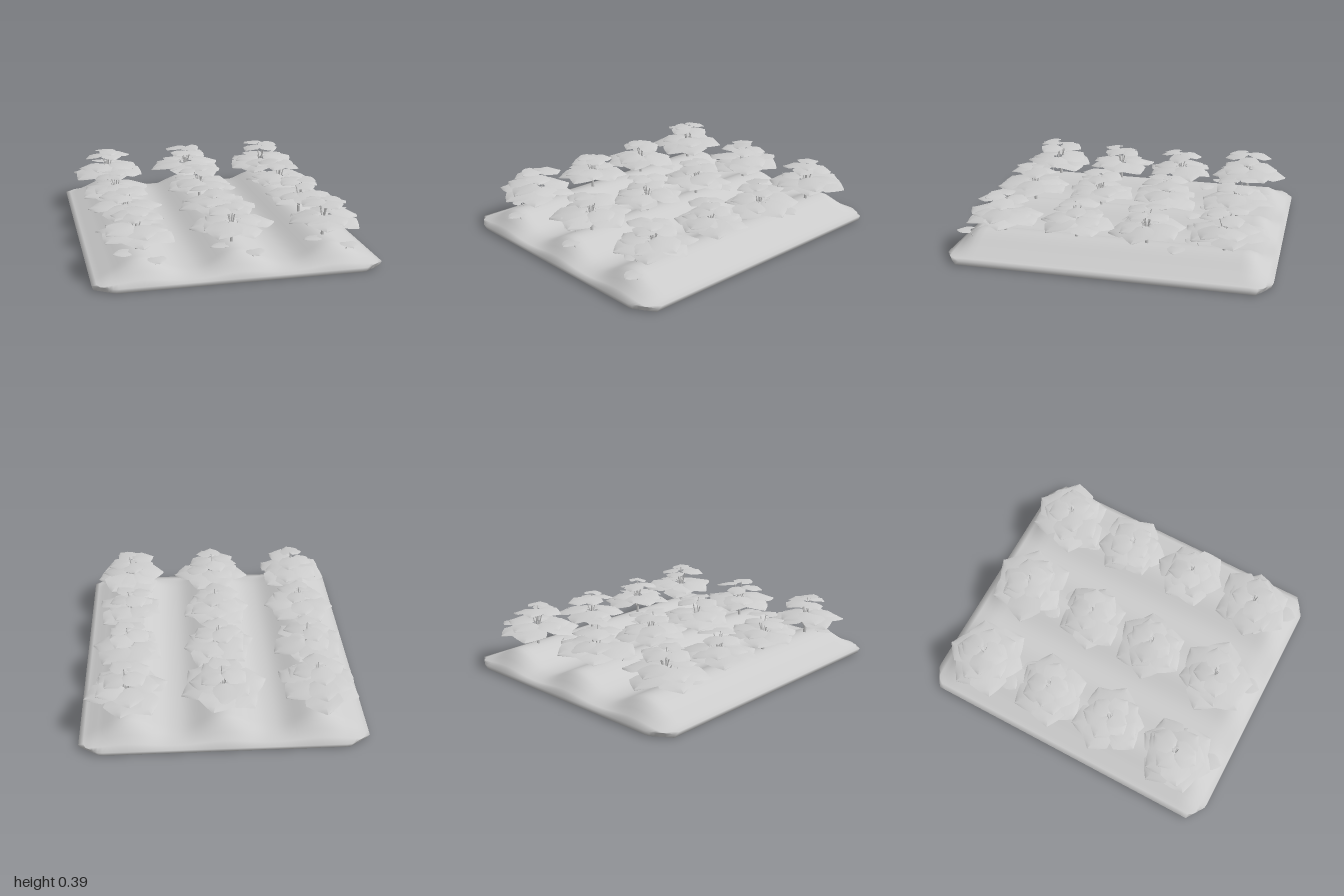
import * as THREE from 'three';
import { mergeVertices } from 'three/addons/utils/BufferGeometryUtils.js';

const grey = new THREE.MeshStandardMaterial({ color: 0xcccccc, side: THREE.DoubleSide });
grey.name = 'pale grey';
const clamp = THREE.MathUtils.clamp;

// Small seeded generator for natural variation
let seed = 7;
const vary = (a, b) => {
  seed = (seed * 16807) % 2147483647;
  return a + (b - a) * (seed / 2147483647);
};

function add(parent, geometry, name) {
  const mesh = new THREE.Mesh(geometry, grey);
  mesh.name = name;
  parent.add(mesh);
  return mesh;
}

// Leaf one unit long along +z, made of rows of [distance, half width]
function leafGeometry(rows, droop, notch) {
  const g = new THREE.PlaneGeometry(2, 1, 4, rows.length - 1);
  const p = g.attributes.position;
  for (let i = 0; i < p.count; i++) {
    const [z, w] = rows[Math.floor(i / 5)];
    const v = p.getX(i);
    const bow = v * v;
    p.setXYZ(i, v * w, -droop * z * z - 0.04 * bow, z - (z < 0.15 ? notch * bow : 0));
  }
  g.computeVertexNormals();
  return g;
}
const broadLeaf = leafGeometry([[0, 0.1], [0.12, 0.38], [0.35, 0.5], [0.6, 0.54], [0.8, 0.31], [1, 0.01]], 0.13, 0.08);
const heartLeaf = leafGeometry([[0.1, 0.3], [0.14, 0.46], [0.35, 0.55], [0.6, 0.46], [0.85, 0.24], [1, 0.02]], 0.06, 0.14);

// Soil height: three long ridges fading out to the rim
function soilHeight(x, z) {
  const wave = (1 + Math.cos((2 * Math.PI * x) / 0.57)) / 2;
  const h = 0.05 + 0.09 * Math.pow(wave, 1.2);
  const fade = clamp((1 - Math.abs(z)) / 0.15, 0, 1);
  const ease = 0.55 * fade + 0.45 * fade * fade * (3 - 2 * fade);
  return 0.03 + (h - 0.03) * ease * clamp((0.86 - Math.abs(x)) / 0.08, 0, 1);
}

// Closed bed with cut corners, ridged top and a narrower underside
function buildSoil(root) {
  const bed = new THREE.BoxGeometry(1.72, 1, 2, 60, 1, 50);
  const p = bed.attributes.position;
  for (let i = 0; i < p.count; i++) {
    let x = p.getX(i), z = p.getZ(i);
    const isTop = p.getY(i) > 0;
    const y = isTop ? soilHeight(x, z) : 0;
    const cx = Math.max(0, Math.abs(x) - 0.74), cz = Math.max(0, Math.abs(z) - 0.92);
    const over = Math.max(1, cx / 0.12 + cz / 0.08);
    if (cx > 0) x = Math.sign(x) * (0.74 + cx / over);
    if (cz > 0) z = Math.sign(z) * (0.92 + cz / over);
    const inset = isTop ? 1 : 0.988;
    p.setXYZ(i, x * inset, y, z * inset);
  }
  // Share vertices so that the rim is shaded smoothly
  bed.deleteAttribute('normal');
  bed.deleteAttribute('uv');
  const smooth = mergeVertices(bed, 1e-5);
  smooth.computeVertexNormals();
  add(root, smooth, 'soilBed');
}

// Curved stalk from the stem out to a leaf base
function stalk(parent, radius, y0, y1, angle, thick) {
  const dx = Math.sin(angle), dz = Math.cos(angle);
  const curve = new THREE.QuadraticBezierCurve3(
    new THREE.Vector3(0, y0, 0),
    new THREE.Vector3(dx * radius * 0.35, y0 + (y1 - y0) * 0.65, dz * radius * 0.35),
    new THREE.Vector3(dx * radius, y1, dz * radius));
  add(parent, new THREE.TubeGeometry(curve, 5, thick, 5), 'stalk');
}

function leaf(parent, geometry, angle, radius, y, length, tilt, name) {
  const m = add(parent, geometry, name);
  m.position.set(Math.sin(angle) * radius, y, Math.cos(angle) * radius);
  m.rotation.order = 'YXZ';
  m.rotation.set(tilt, angle, vary(-0.1, 0.1));
  m.scale.setScalar(length);
}

// Leaf tiers: count, base radius, base height, leaf length, tilt, stalk start
const tiers = [
  { n: 6, r: 0.055, y: 0.134, len: 0.198, tilt: 0.02, from: 0.04, name: 'lowerLeaf' },
  { n: 5, r: 0.035, y: 0.148, len: 0.165, tilt: 0, from: 0.045, name: 'middleLeaf' },
  { n: 4, r: 0.024, y: 0.23, len: 0.138, tilt: 0, from: 0.05, name: 'upperLeaf' },
];

function buildPlant(root, x, z, scale) {
  const plant = new THREE.Group();
  plant.name = 'plant';
  plant.position.set(x, 0.135, z);
  plant.scale.setScalar(scale);
  root.add(plant);

  const stem = add(plant, new THREE.CylinderGeometry(0.01, 0.011, 0.06, 6), 'stem');
  stem.position.y = 0.02;

  for (const t of tiers) {
    const start = vary(0, Math.PI * 2);
    for (let i = 0; i < t.n; i++) {
      const a = start + (i * 2 * Math.PI) / t.n + vary(-0.2, 0.2);
      const y = t.y + vary(-0.016, 0.016);
      stalk(plant, t.r + 0.02, t.from, y - 0.002, a, 0.0035);
      leaf(plant, broadLeaf, a, t.r, y, t.len * vary(0.9, 1.1), t.tilt + vary(-0.05, 0.08), t.name);
    }
  }
  // Single heart-shaped leaf at the crown
  const a = vary(-0.3, 0.9);
  stalk(plant, 0.02, 0.06, 0.248, a, 0.003);
  leaf(plant, heartLeaf, a, 0.005, 0.252, 0.12, 0, 'crownLeaf');
}

// Low young leaf on a short stalk rising from the ridge
function buildSprout(root, x, z, angle) {
  const sprout = new THREE.Group();
  sprout.name = 'sprout';
  sprout.position.set(x, 0, z);
  root.add(sprout);
  stalk(sprout, 0.025, soilHeight(x, z) - 0.005, 0.152, angle, 0.003);
  leaf(sprout, heartLeaf, angle, 0, 0.155, 0.1, 0, 'youngLeaf');
}

export function createModel() {
  seed = 7;
  const root = new THREE.Group();
  root.name = 'plantedBed';
  buildSoil(root);

  const rows = [[-0.69, 1.02], [-0.22, 0.93], [0.22, 0.93], [0.68, 0.98]];
  for (const x of [-0.57, 0, 0.57]) {
    for (const [z, scale] of rows) buildPlant(root, x, z, scale);
    buildSprout(root, x + 0.08, 0.87, 0.1);
    buildSprout(root, x - 0.05, -0.53, -0.4);
    buildSprout(root, x - 0.05, 0.76, -1.5);
    buildSprout(root, x + 0.05, -0.42, 1.4);
  }
  return root;
}
